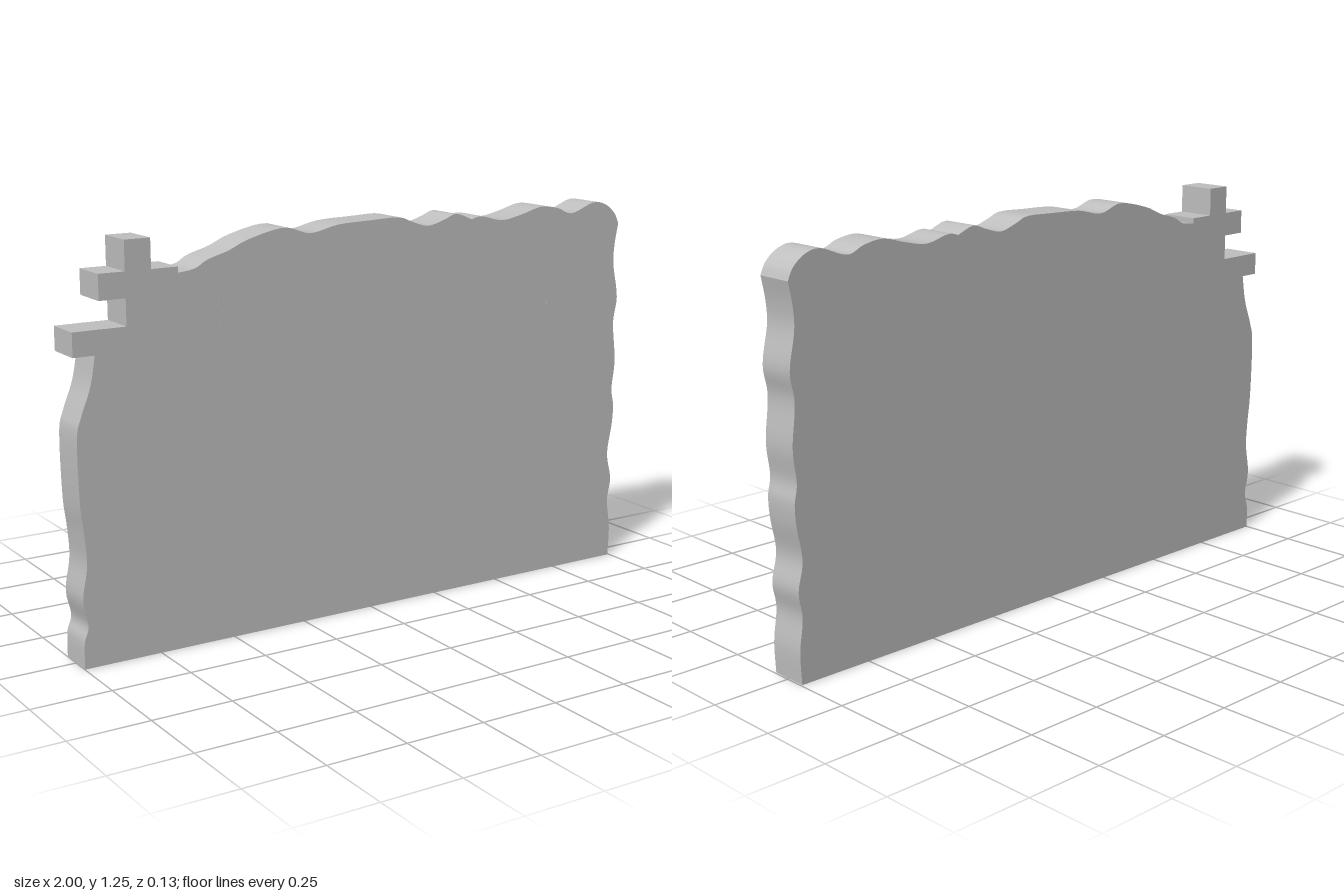
import * as THREE from 'three';
import { toCreasedNormals } from 'three/addons/utils/BufferGeometryUtils.js';

const DEPTH = 0.125;
const vec = ([x, y]) => new THREE.Vector2(x, y);

// Smooth wavy run through a few points
const wave = (points, steps) => new THREE.SplineCurve(points.map(vec)).getPoints(points.length * steps);

export function createModel() {
  const group = new THREE.Group();
  group.name = 'wallSlab';
  const stone = new THREE.MeshStandardMaterial({ color: 0xbfbfbf });
  stone.name = 'grey stone';

  // Worn right edge, bottom to top
  const rightEdge = wave([
    [0.995, 0], [0.998, 0.1], [0.985, 0.2], [0.996, 0.28], [0.978, 0.37], [0.994, 0.47],
    [0.998, 0.54], [0.988, 0.6], [0.998, 0.7], [0.985, 0.83], [0.998, 0.92], [0.978, 1.03],
    [0.98, 1.1], [0.993, 1.17]], 4);

  // Wavy top, right to left, with one crease
  const topRight = wave([
    [0.993, 1.17], [0.975, 1.205], [0.935, 1.237], [0.88, 1.247], [0.79, 1.217], [0.73, 1.238],
    [0.66, 1.247], [0.58, 1.227], [0.5, 1.214], [0.42, 1.232], [0.38, 1.225]], 4);
  const topLeft = wave([
    [0.38, 1.225], [0.32, 1.246], [0.27, 1.23], [0.21, 1.216], [0.15, 1.233], [0.1, 1.25],
    [0, 1.248], [-0.12, 1.243], [-0.22, 1.224], [-0.31, 1.247], [-0.43, 1.222], [-0.5, 1.193],
    [-0.57, 1.172], [-0.61, 1.15], [-0.665, 1.142]], 4);

  // Stepped square blocks at the upper left corner
  const steps = [
    [-0.665, 1.16], [-0.75, 1.16], [-0.75, 1.25], [-0.832, 1.25], [-0.832, 1.16], [-0.915, 1.16],
    [-0.915, 1.083], [-0.832, 1.083], [-0.832, 1.002], [-1, 1.002], [-1, 0.929]].map(vec);

  // Worn left edge, top to bottom
  const leftEdge = wave([
    [-0.933, 0.929], [-0.95, 0.84], [-0.982, 0.755], [-0.997, 0.69], [-0.995, 0.5], [-0.985, 0.4],
    [-0.981, 0.31], [-0.997, 0.21], [-0.983, 0.13], [-0.997, 0.08], [-0.999, 0]], 4);

  const outline = [...rightEdge, ...topRight.slice(1), ...topLeft.slice(1), ...steps, ...leftEdge];
  const slab = new THREE.ExtrudeGeometry(new THREE.Shape(outline), { depth: DEPTH, bevelEnabled: false });
  slab.translate(0, 0, -DEPTH / 2);
  const body = new THREE.Mesh(toCreasedNormals(slab, 0.5), stone);
  body.name = 'slab';
  group.add(body);

  // Tiny raised chips on the front face: x, y, half width, half height
  const chips = [[-0.525, 1.043, 0.014, 0.022], [-0.525, 0.972, 0.005, 0.004], [0.694, 0.924, 0.005, 0.007]];
  for (const [x, y, w, h] of chips) {
    const shape = new THREE.Shape().absellipse(0, 0, w, h, 0, Math.PI * 2, false, -0.3);
    const chip = new THREE.Mesh(
      new THREE.ExtrudeGeometry(shape, { depth: 0.002, bevelEnabled: false, curveSegments: 6 }), stone);
    chip.position.set(x, y, DEPTH / 2 - 0.001);
    chip.name = 'surfaceChip';
    group.add(chip);
  }
  return group;
}
